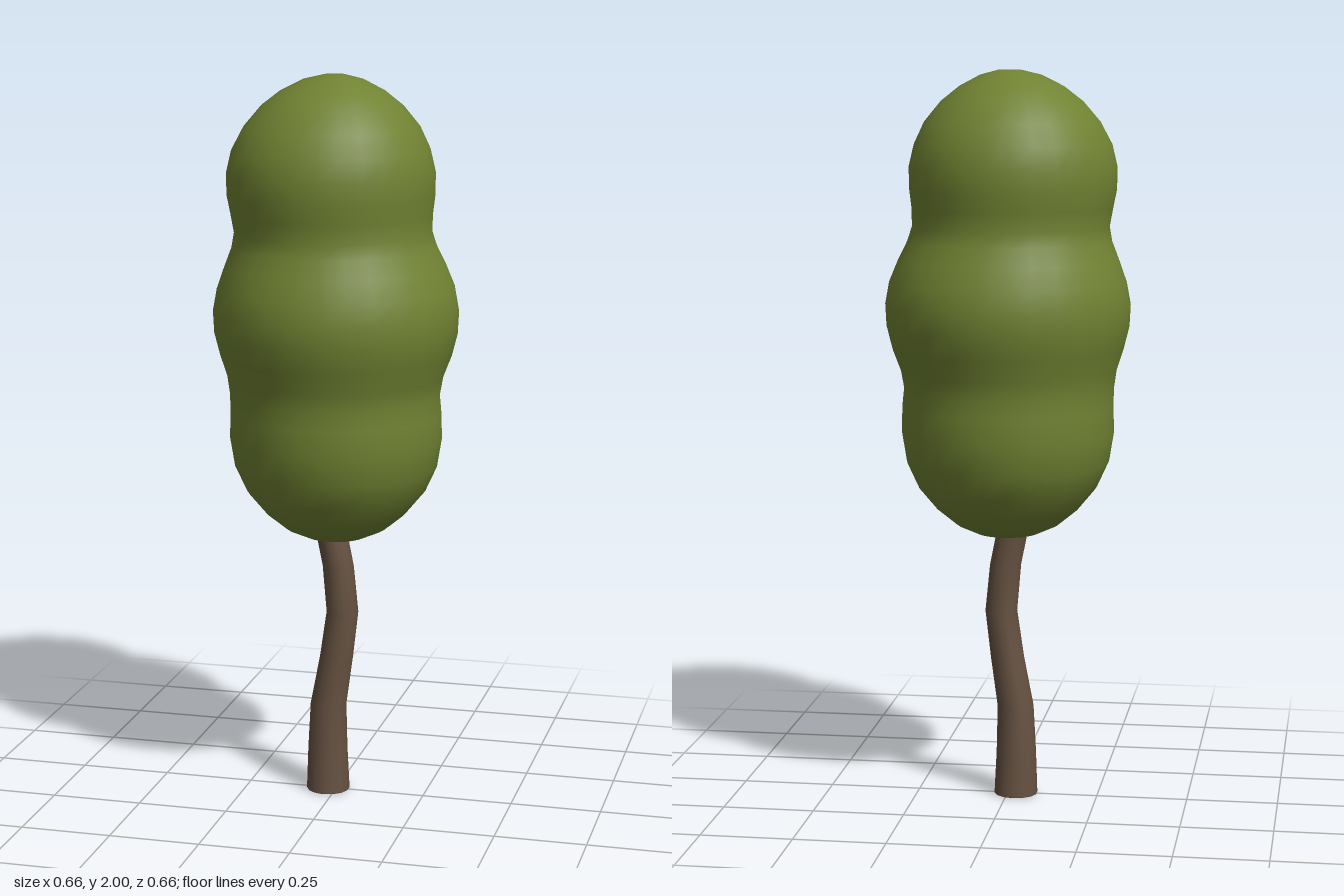
import * as THREE from 'three';

// Smooth closed-round skin through horizontal rings [centreX, y, radius]
function loft(rings, sides) {
  const pos = [], idx = [];
  rings.forEach(([cx, y, r], i) => {
    for (let j = 0; j < sides; j++) {
      const a = ((j + 0.5) / sides) * Math.PI * 2;
      pos.push(cx + Math.cos(a) * r, y, Math.sin(a) * r);
      if (i === 0) continue;
      const k = (j + 1) % sides, lo = (i - 1) * sides, hi = i * sides;
      idx.push(lo + j, hi + j, lo + k, lo + k, hi + j, hi + k);
    }
  });
  // close both ends with a centre point
  const last = (rings.length - 1) * sides, n = rings.length * sides;
  const [b, t] = [rings[0], rings[rings.length - 1]];
  pos.push(b[0], b[1], 0, t[0], t[1], 0);
  for (let j = 0; j < sides; j++) {
    const k = (j + 1) % sides;
    idx.push(n, j, k, n + 1, last + k, last + j);
  }
  const g = new THREE.BufferGeometry();
  g.setAttribute('position', new THREE.Float32BufferAttribute(pos, 3));
  g.setIndex(idx);
  g.computeVertexNormals();
  return g;
}

export function createModel() {
  const group = new THREE.Group();
  const leafGreen = new THREE.MeshStandardMaterial({ color: 0x708232 });
  leafGreen.name = 'leafGreen';
  const barkBrown = new THREE.MeshStandardMaterial({ color: 0x665241 });
  barkBrown.name = 'barkBrown';

  const add = (name, geometry, material) => {
    const mesh = new THREE.Mesh(geometry, material);
    mesh.name = name;
    group.add(mesh);
    return mesh;
  };

  // Foliage: three rounded lobes blended into one column
  const crown = [
    [0, 0.73, 0.03], [0, 0.74, 0.085], [0, 0.765, 0.14], [0, 0.81, 0.195],
    [0, 0.87, 0.245], [0, 0.94, 0.277], [0, 1.02, 0.29], [0, 1.09, 0.288],
    [-0.003, 1.14, 0.286], [-0.002, 1.19, 0.294], [0, 1.25, 0.315], [0, 1.31, 0.33],
    [0, 1.37, 0.333], [0, 1.43, 0.322], [-0.002, 1.49, 0.299], [-0.005, 1.54, 0.277],
    [-0.008, 1.58, 0.267], [-0.012, 1.63, 0.272], [-0.014, 1.68, 0.28],
    [-0.014, 1.74, 0.281], [-0.014, 1.8, 0.267], [-0.012, 1.86, 0.237],
    [-0.011, 1.915, 0.191], [-0.01, 1.955, 0.14], [-0.008, 1.985, 0.082], [-0.005, 1.998, 0.03],
  ];
  add('foliage', loft(crown, 28), leafGreen);

  // Bent trunk, running up inside the foliage
  const trunk = [
    [-0.023, 0, 0.06], [-0.024, 0.12, 0.055], [-0.022, 0.25, 0.05], [0.001, 0.39, 0.046],
    [0.018, 0.52, 0.044], [0.006, 0.65, 0.043], [-0.012, 0.74, 0.043], [-0.035, 0.82, 0.042],
  ];
  // The base ring is doubled so the cut end keeps a sharp rim
  add('trunk', loft([[-0.023, 0.001, 0.0598], ...trunk.slice(0, 1).map(([x, , r]) => [x, 0.003, r]), ...trunk.slice(1)], 14), barkBrown);
  const base = add('trunkBase', new THREE.CircleGeometry(0.06, 14, Math.PI / 14), barkBrown);
  base.rotation.x = Math.PI / 2;
  base.position.x = -0.023;

  return group;
}
